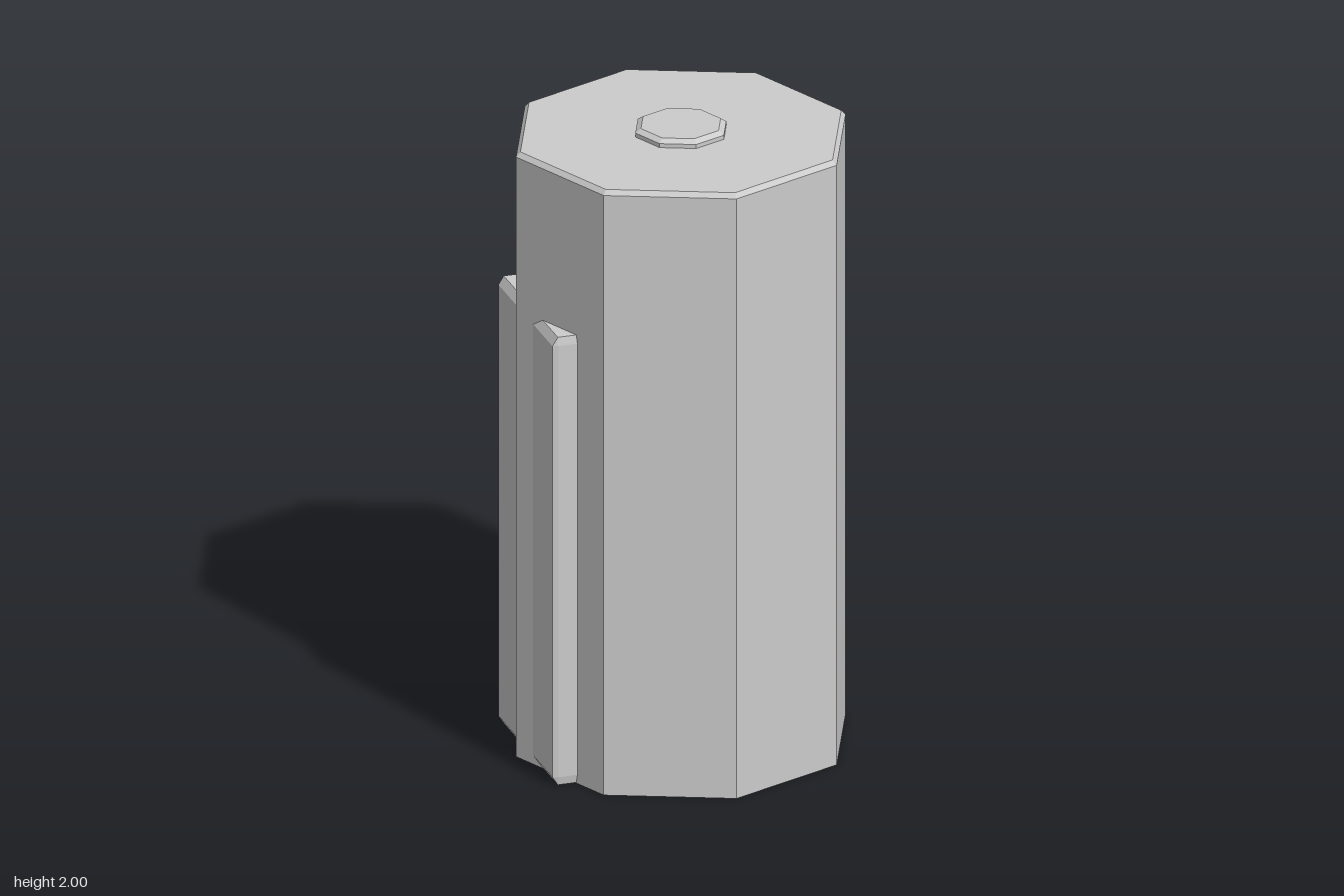
import * as THREE from 'three';
import { ConvexGeometry } from 'three/addons/geometries/ConvexGeometry.js';

const material = new THREE.MeshStandardMaterial({ color: 0xcccccc, flatShading: true });

// Eight-sided solid turned from a [radius, y] profile, corners on the axes
function octagonal(name, profile) {
  const points = profile.map(([r, y]) => new THREE.Vector2(r, y));
  const geometry = new THREE.LatheGeometry(points, 8).toNonIndexed();
  geometry.computeVertexNormals();
  const mesh = new THREE.Mesh(geometry, material);
  mesh.name = name;
  return mesh;
}

// Box with every edge chamfered, by a different amount along each axis
function chamferedBox(name, size, bevel) {
  const points = [];
  for (const sx of [-1, 1]) for (const sy of [-1, 1]) for (const sz of [-1, 1]) {
    const sign = [sx, sy, sz];
    for (let full = 0; full < 3; full++) {
      const p = sign.map((s, i) => s * (size[i] / 2 - (i === full ? 0 : bevel[i])));
      points.push(new THREE.Vector3(...p));
    }
  }
  const mesh = new THREE.Mesh(new ConvexGeometry(points), material);
  mesh.name = name;
  return mesh;
}

export function createModel() {
  const model = new THREE.Group();
  model.name = 'canister';

  // Main body with a thin chamfer around the top rim
  model.add(octagonal('body', [[0, 0], [0.525, 0], [0.525, 1.96], [0.511, 1.975], [0, 1.975]]));

  // Low button in the middle of the lid
  model.add(octagonal('topButton', [[0, 1.965], [0.145, 1.965], [0.145, 1.988], [0.127, 2], [0, 2]]));

  // Upright panel sunk into the side, split by the body's corner
  const panel = chamferedBox('sidePanel', [0.155, 1.463, 0.52], [0.017, 0.027, 0.005]);
  panel.position.set(-0.4175, 0.7335, 0);
  model.add(panel);

  return model;
}
